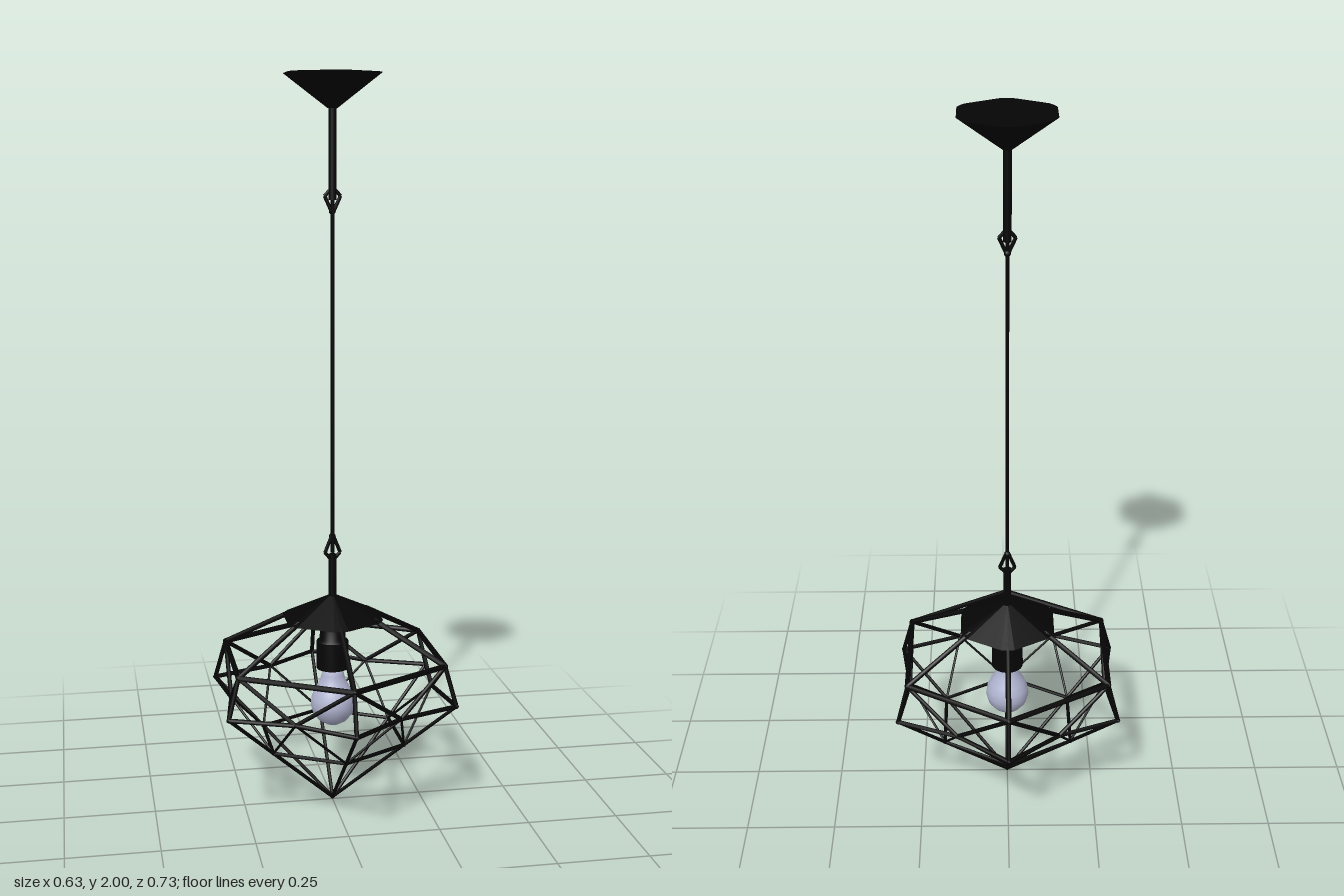
import * as THREE from 'three';

const black = new THREE.MeshStandardMaterial({ color: 0x050505 });
const blackFlat = new THREE.MeshStandardMaterial({ color: 0x050505, flatShading: true });
const glass = new THREE.MeshStandardMaterial({ color: 0xb2b6d2 });

const v = (x, y, z) => new THREE.Vector3(x, y, z);

function add(parent, name, geometry, material) {
  const mesh = new THREE.Mesh(geometry, material);
  mesh.name = name;
  parent.add(mesh);
  return mesh;
}

// Round bar between two points
function bar(parent, name, a, b, radius, sides = 8) {
  const mesh = add(parent, name, new THREE.CylinderGeometry(radius, radius, a.distanceTo(b), sides), black);
  mesh.position.copy(a).lerp(b, 0.5);
  mesh.quaternion.setFromUnitVectors(v(0, 1, 0), b.clone().sub(a).normalize());
  return mesh;
}

// Six points around the axis, the first one on +z unless turned
const hexRing = (radius, y, turn = 0) => Array.from({ length: 6 }, (_, i) => {
  const a = (i + turn) * Math.PI / 3;
  return v(radius * Math.sin(a), y, radius * Math.cos(a));
});

// Six-sided cone with rounded-off corners: flats lie at 1, corners stop at 1.08
function hexCone(topRadius, bottomRadius, height) {
  const geometry = new THREE.CylinderGeometry(topRadius, bottomRadius, height, 48);
  const p = geometry.attributes.position;
  for (let i = 0; i < p.count; i++) {
    const angle = Math.atan2(p.getX(i), p.getZ(i)) + 2 * Math.PI;
    const fromFlat = angle % (Math.PI / 3) - Math.PI / 6;
    const k = Math.min(1.08, 1 / Math.cos(fromFlat));
    p.setX(i, p.getX(i) * k);
    p.setZ(i, p.getZ(i) * k);
  }
  return geometry;
}

const lathe = (profile, segments = 32) =>
  new THREE.LatheGeometry(profile.map(([r, y]) => new THREE.Vector2(r, y)), segments);

// Flat wire loop with a small knot that joins a rod to the cord
function cordLoop(parent, name, rodY, wideY, tipY) {
  const group = new THREE.Group();
  group.name = name;
  parent.add(group);
  for (const s of [-1, 1]) {
    bar(group, 'loopShoulder', v(s * 0.008, rodY, 0), v(s * 0.021, wideY, 0), 0.005);
    bar(group, 'loopSide', v(s * 0.021, wideY, 0), v(s * 0.003, tipY, 0), 0.005);
  }
  add(group, 'knot', new THREE.SphereGeometry(0.009, 10, 8), black).position.set(0, tipY, -0.004);
}

function cage(parent) {
  const group = new THREE.Group();
  group.name = 'cage';
  parent.add(group);
  const top = hexRing(0.12, 0.54);
  const shoulder = hexRing(0.325, 0.43);
  const girdle = hexRing(0.358, 0.32);
  const between = hexRing(0.284, 0.32, 0.5);
  const lower = hexRing(0.21, 0.19);
  const tip = v(0, 0.006, 0);
  for (let i = 0; i < 6; i++) {
    const n = (i + 1) % 6;
    bar(group, 'topStrut', top[i], shoulder[i], 0.0075);
    bar(group, 'shoulderBar', shoulder[i], shoulder[n], 0.0075);
    bar(group, 'shoulderStrut', shoulder[i], girdle[i], 0.006);
    bar(group, 'lowerStrut', girdle[i], lower[i], 0.005);
    bar(group, 'lowerBar', lower[i], lower[n], 0.005);
    bar(group, 'tipStrut', lower[i], tip, 0.005);
    for (const k of [i, n]) {
      bar(group, 'girdleBar', girdle[k], between[i], 0.006);
      bar(group, 'upperDiagonal', shoulder[k], between[i], 0.006);
      bar(group, 'lowerDiagonal', lower[k], between[i], 0.0035);
    }
  }
  // Joints that close the bar ends
  for (const [points, radius] of [[shoulder, 0.008], [girdle, 0.007], [between, 0.007], [lower, 0.006], [[tip], 0.006]])
    for (const p of points) add(group, 'joint', new THREE.SphereGeometry(radius, 8, 6), black).position.copy(p);
}

export function createModel() {
  const model = new THREE.Group();
  model.name = 'pendantLamp';

  // Six-sided ceiling canopy and its rod
  add(model, 'canopy', hexCone(0.123, 0.012, 0.09), blackFlat).position.y = 1.955;
  bar(model, 'upperRod', v(0, 1.675, 0), v(0, 1.92, 0), 0.011, 16);

  // Cord with a loop at both ends
  cordLoop(model, 'upperLoop', 1.7, 1.685, 1.645);
  const cord = bar(model, 'cord', v(0, 0.72, 0), v(0, 1.68, 0), 0.005, 12);
  cord.scale.z = 1.6;
  cordLoop(model, 'lowerLoop', 0.705, 0.72, 0.765);

  // Lower rod runs through the six-sided cap to the socket
  bar(model, 'lowerRod', v(0, 0.49, 0), v(0, 0.715, 0), 0.011, 16);
  add(model, 'cap', hexCone(0.012, 0.132, 0.062), blackFlat).position.y = 0.567;

  cage(model);

  // Socket with a stepped, rounded top
  add(model, 'socket', lathe([
    [0, 0.39], [0.045, 0.39], [0.045, 0.39], [0.044, 0.468], [0.044, 0.468],
    [0.036, 0.475], [0.035, 0.498], [0.028, 0.509], [0, 0.512]
  ]), black);

  // Bulb
  add(model, 'bulb', lathe([
    [0, 0.226], [0.02, 0.229], [0.04, 0.241], [0.055, 0.26], [0.062, 0.285],
    [0.059, 0.308], [0.05, 0.329], [0.038, 0.351], [0.031, 0.372], [0.028, 0.4], [0, 0.4]
  ]), glass).position.z = 0.005;

  return model;
}
